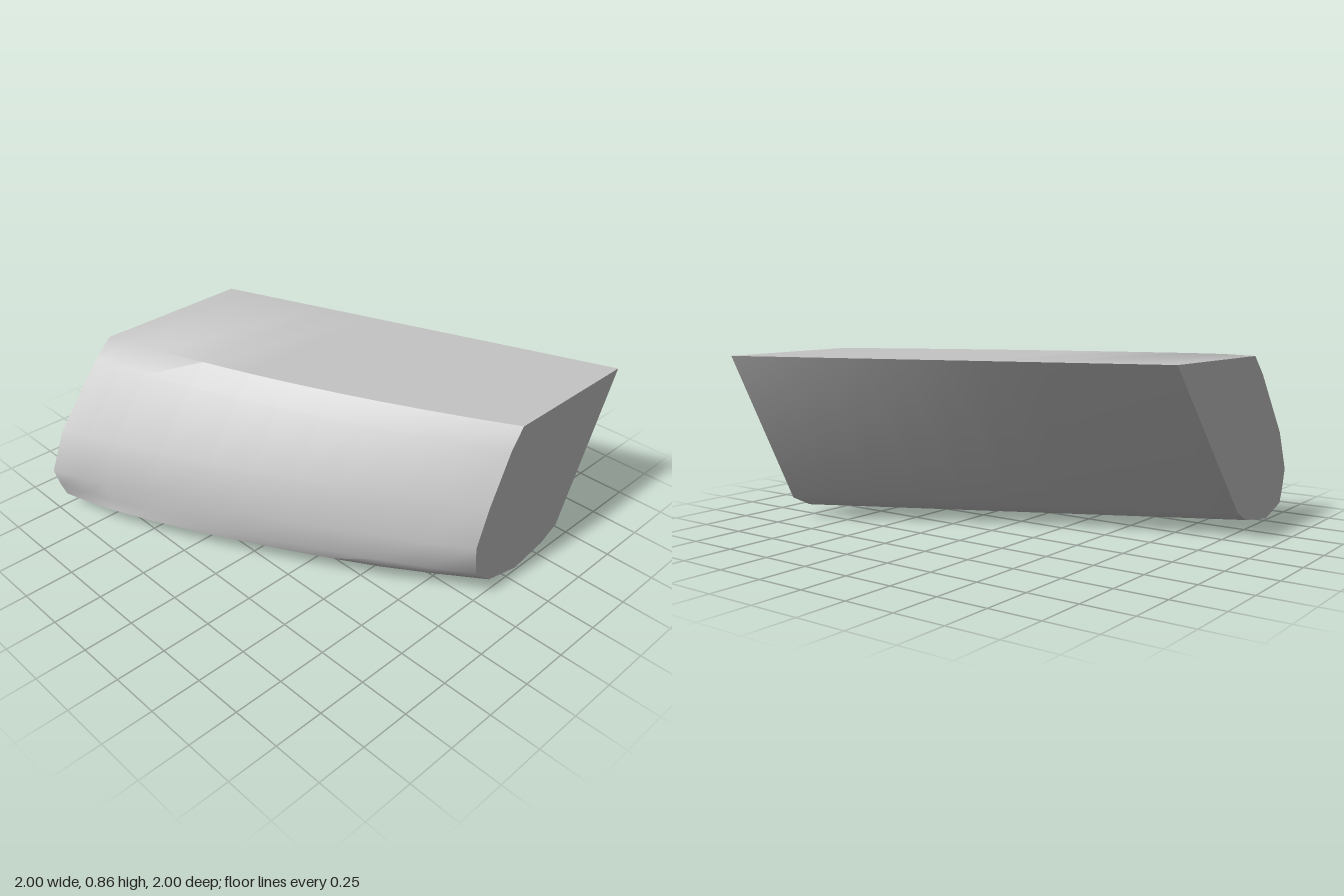
import * as THREE from 'three';
import { toCreasedNormals } from 'three/addons/utils/BufferGeometryUtils.js';

// Matching end outlines as [z, y], from the back top edge, under the bottom, up the front
const leftToRight = [
  // x = -1,       x = +1,         z bulge, end flare
  [[-0.24, 0.865], [-1.0, 0.865], 0, 0],
  [[0.42, 0.10], [-0.64, 0.11], 0, 0],
  [[0.52, 0.045], [-0.53, 0.055], 0, 0],
  [[0.77, 0.008], [-0.32, 0.015], 0.04, 0],
  [[0.945, 0.06], [-0.11, 0.065], 0.075, 0.07],
  [[0.975, 0.14], [0.0, 0.165], 0.075, 0.01],
  [[1.0, 0.235], [0.015, 0.32], 0.075, -0.01],
  [[0.915, 0.44], [-0.06, 0.52], 0.075, 0],
  [[0.67, 0.76], [-0.18, 0.77], 0.072, 0],
  [[0.57, 0.858], [-0.25, 0.865], 0.07, 0],
];
const stations = [-1, -0.85, -0.7, -0.45, -0.2, 0, 0.2, 0.4, 0.6, 0.8, 1];

// Cross-section at x: blend the ends, then bow the front outwards
function section(x) {
  const t = (x + 1) / 2;
  const flare = Math.min(1, (1 - Math.abs(x)) / 0.35);
  return leftToRight.map(([a, b, bulge, extra], j) => {
    const z = a[0] + (b[0] - a[0]) * t + bulge * (1 - x * x) + extra * flare;
    let y = a[1] + (b[1] - a[1]) * t;
    if (j === 3) y -= 0.011 * (1 - x * x);
    if (j === 4) y += 0.032 * flare;
    if (j === 9) y = Math.min(0.865, 0.858 + 0.04 * (x + 1));
    return [x, y, z];
  });
}

function loft() {
  const n = leftToRight.length;
  const points = stations.flatMap(section);
  const index = [];
  // Skin between neighbouring sections, including the flat top
  for (let i = 0; i < stations.length - 1; i++) {
    for (let j = 0; j < n; j++) {
      const a = i * n + j, b = i * n + (j + 1) % n;
      index.push(a, a + n, b + n, a, b + n, b);
    }
  }
  // End caps
  const last = (stations.length - 1) * n;
  for (let j = 1; j < n - 1; j++) {
    index.push(0, j, j + 1, last, last + j + 1, last + j);
  }
  const geometry = new THREE.BufferGeometry();
  geometry.setAttribute('position', new THREE.Float32BufferAttribute(points.flat(), 3));
  geometry.setIndex(index);
  return toCreasedNormals(geometry, 0.85);
}

export function createModel() {
  const group = new THREE.Group();
  const grey = new THREE.MeshStandardMaterial({ color: 0xc4c4c4 });
  grey.name = 'light grey';
  const block = new THREE.Mesh(loft(), grey);
  block.name = 'slantedBlock';
  group.add(block);
  return group;
}
